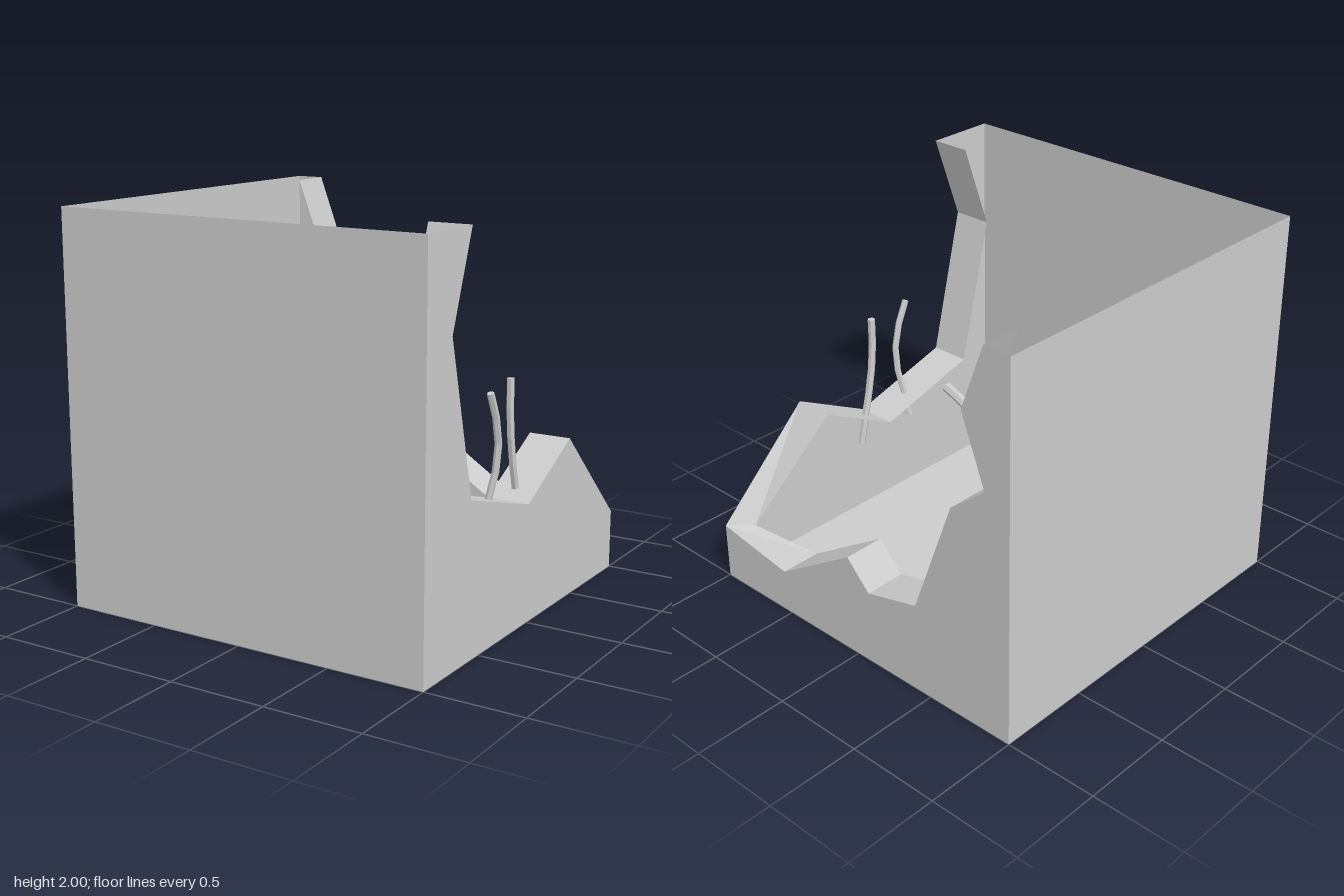
import * as THREE from 'three';

const material = new THREE.MeshStandardMaterial({ color: 0xcccccc, side: THREE.DoubleSide, flatShading: true });
const DEPTH = 0.22; // how far the broken edges reach inwards

// Broken edge of the right wall as [z, y], from the top down to the back corner
const rightBreak = [[0.615, 2], [0.78, 1.54], [0.585, 0.765], [0, 0.6], [-0.445, 0.83], [-1, 0.31]];
// Broken edge of the back wall as [x, y], from the back corner up to the top
const backBreak = [[1, 0.31], [0.54, 0.235], [0.05, 0.55], [-0.09, 0.405], [-0.41, 0.49],
  [-0.65, 1.135], [-0.855, 1.3], [-0.72, 1.655], [-0.85, 2]];

function add(group, name, geometry) {
  const mesh = new THREE.Mesh(geometry, material);
  mesh.name = name;
  group.add(mesh);
}

// Thin upright wall, outlined as seen from outside and turned to its side of the box
function wall(outline, turn) {
  const shape = new THREE.Shape(outline.map(([x, y]) => new THREE.Vector2(x, y)));
  return new THREE.ShapeGeometry(shape).translate(0, 0, 1).rotateY(turn);
}

// Strip of facets that gives the broken edge its thickness
function brokenRim() {
  const outer = [], inner = [];
  rightBreak.slice(0, -1).forEach(([z, y]) => {
    outer.push([1, y, z]);
    inner.push([1 - DEPTH, y, z]);
  });
  // mitred point at the back corner
  outer.push([1, 0.31, -1]);
  inner.push([1 - DEPTH / 2, 0.31, -1 + DEPTH / 2]);
  backBreak.slice(1).forEach(([x, y]) => {
    outer.push([x, y, -1]);
    inner.push([x, y, -1 + DEPTH]);
  });
  const positions = [];
  for (let i = 0; i < outer.length - 1; i++) {
    positions.push(...outer[i], ...outer[i + 1], ...inner[i + 1]);
    positions.push(...outer[i], ...inner[i + 1], ...inner[i]);
  }
  const geometry = new THREE.BufferGeometry();
  geometry.setAttribute('position', new THREE.Float32BufferAttribute(positions, 3));
  geometry.computeVertexNormals();
  return geometry;
}

// Bent six-sided bar with closed ends
function bar(points, radius) {
  const path = new THREE.CatmullRomCurve3(points.map((p) => new THREE.Vector3(...p)));
  const section = new THREE.Shape();
  for (let i = 0; i < 6; i++) {
    const a = (i * Math.PI) / 3;
    section[i ? 'lineTo' : 'moveTo'](radius * Math.cos(a), radius * Math.sin(a));
  }
  section.closePath();
  return new THREE.ExtrudeGeometry(section, { steps: 5, extrudePath: path, bevelEnabled: false });
}

export function createModel() {
  const model = new THREE.Group();
  model.name = 'brokenCornerBlock';

  // Whole sides and floor; the top is open
  const square = [[-1, 0], [1, 0], [1, 2], [-1, 2]];
  add(model, 'frontWall', wall(square, 0));
  add(model, 'leftSideWall', wall(square, -Math.PI / 2));
  add(model, 'floor', new THREE.PlaneGeometry(2, 2).rotateX(Math.PI / 2));

  // Broken sides
  const rightOutline = rightBreak.map(([z, y]) => [-z, y]);
  add(model, 'brokenSideWall', wall([[-1, 2], [-1, 0], [1, 0], ...rightOutline.reverse()], Math.PI / 2));
  const backOutline = backBreak.map(([x, y]) => [-x, y]);
  add(model, 'brokenBackWall', wall([[1, 2], [1, 0], [-1, 0], ...backOutline].reverse(), Math.PI));
  add(model, 'brokenRim', brokenRim());

  // Reinforcement bars sticking out of the broken edges
  add(model, 'sideBarFront', bar([[0.865, 0.53, 0.225], [0.895, 0.66, 0.22], [0.92, 0.79, 0.202],
    [0.935, 0.98, 0.208], [0.93, 1.19, 0.285]], 0.018));
  add(model, 'sideBarBack', bar([[0.88, 0.485, -0.125], [0.88, 0.645, -0.09], [0.88, 0.8, -0.052],
    [0.88, 1, -0.02], [0.88, 1.2, -0.018]], 0.02));
  add(model, 'backBar', bar([[-0.88, 1.42, -0.88], [-0.78, 1.5, -0.88], [-0.64, 1.575, -0.865],
    [-0.48, 1.61, -0.838]], 0.022));

  return model;
}
